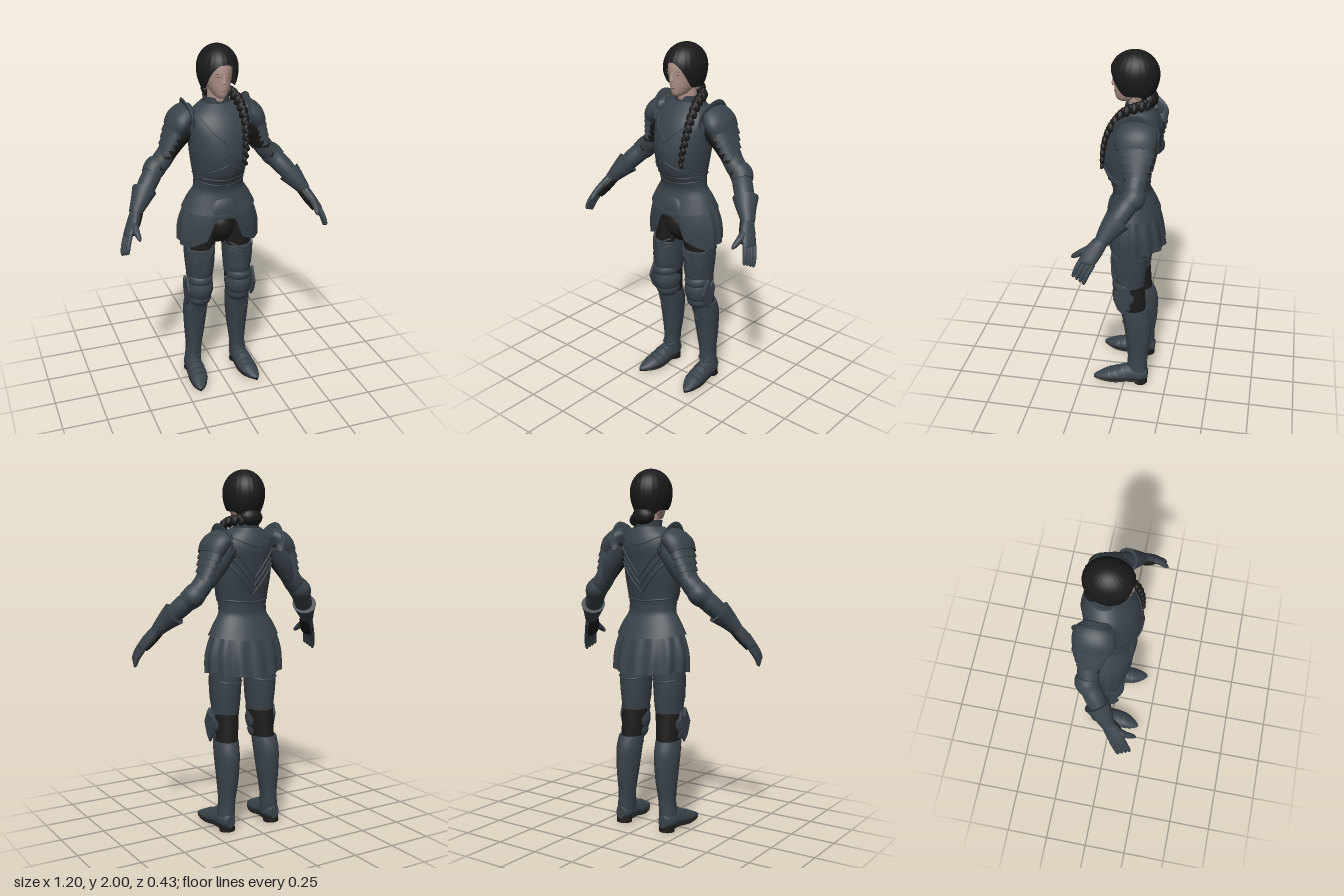
import * as THREE from 'three';

const V = (x, y, z) => new THREE.Vector3(x, y, z);
const X = V(1, 0, 0), Y = V(0, 1, 0), Z = V(0, 0, 1), DOWN = V(0, -1, 0);
const paint = (name, color, side = THREE.FrontSide) => {
  const m = new THREE.MeshStandardMaterial({ color, side });
  m.name = name;
  return m;
};
const step = (a, b, x) => THREE.MathUtils.smoothstep(x, a, b);

// Closed-round surface from f(angle, s), s running 0..1 along its length
function grid(f, n, m, cap) {
  const pos = [], idx = [];
  const row = (s) => { for (let j = 0; j < n; j++) pos.push(...f(j / n * Math.PI * 2, s).toArray()); };
  for (let i = 0; i <= m; i++) row(i / m);
  for (let i = 0; i < m; i++) for (let j = 0; j < n; j++) {
    const a = i * n + j, b = i * n + (j + 1) % n;
    idx.push(a, a + n, b, b, a + n, b + n);
  }
  if (cap) for (const s of [0, 1]) {
    const o = pos.length / 3, c = V(0, 0, 0);
    row(s);
    for (let j = 0; j < n; j++) c.add(V().fromArray(pos, (o + j) * 3));
    pos.push(...c.divideScalar(n).toArray());
    for (let j = 0; j < n; j++) {
      const k = o + (j + 1) % n;
      idx.push(o + n, s ? k : o + j, s ? o + j : k);
    }
  }
  const g = new THREE.BufferGeometry();
  g.setAttribute('position', new THREE.Float32BufferAttribute(pos, 3));
  g.setIndex(idx);
  g.computeVertexNormals();
  return g;
}

// Smoothly resample sections [x, y, z, halfWidth, front, back]
function smooth(secs, m) {
  const at = (i) => secs[Math.max(0, Math.min(secs.length - 1, i))];
  return Array.from({ length: m + 1 }, (_, k) => {
    const u = k / m * (secs.length - 1), i = Math.min(Math.floor(u), secs.length - 2), t = u - i;
    return secs[0].map((_, c) => {
      const [a, b, d, e] = [at(i - 1)[c], at(i)[c], at(i + 1)[c], at(i + 2)[c]];
      const v = b + 0.5 * t * (d - a + t * (2 * a - 5 * b + 4 * d - e + t * (3 * (b - d) + e - a)));
      return c > 2 ? Math.max(v, 0.001) : v;
    });
  });
}

// Loft along the section centres; v is the "front" axis, t an optional fixed direction
function loft(secs, { n = 24, m = (secs.length - 1) * 5, v = Z, t = null, cap = true, mod = null } = {}) {
  const d = smooth(secs, m);
  const frames = d.map((_, i) => {
    const p = d[Math.max(0, i - 1)], q = d[Math.min(m, i + 1)];
    const T = t || V(q[0] - p[0], q[1] - p[1], q[2] - p[2]).normalize();
    const W = v.clone().addScaledVector(T, -v.dot(T)).normalize();
    return [V().crossVectors(T, W), W];
  });
  return grid((a, s) => {
    const i = Math.round(s * m), [x, y, z, r, f, b] = d[i], c = Math.cos(a), q = Math.sin(a);
    const p = V(x, y, z).addScaledVector(frames[i][0], c * r).addScaledVector(frames[i][1], q * (q > 0 ? f : b));
    if (mod) mod(p, a, s);
    return p;
  }, n, m, cap);
}

// Raised trim following a lofted surface through (x, y) points
function trim(secs, pts, side, r = 0.005) {
  const d = smooth(secs, 500), out = [];
  for (let i = 0; i < pts.length - 1; i++) for (let k = 0; k <= 8; k++) {
    if (k === 8 && i < pts.length - 2) continue;
    const x = THREE.MathUtils.lerp(pts[i][0], pts[i + 1][0], k / 8), y = THREE.MathUtils.lerp(pts[i][1], pts[i + 1][1], k / 8);
    const s = d.reduce((best, e) => Math.abs(e[1] - y) < Math.abs(best[1] - y) ? e : best);
    out.push(V(x, y, s[2] + side * (side > 0 ? s[4] : s[5]) * Math.sqrt(Math.max(0, 1 - ((x - s[0]) / s[3]) ** 2))));
  }
  return new THREE.TubeGeometry(new THREE.CatmullRomCurve3(out), out.length * 2, r, 6);
}

const ball = (x, y, z, a, b, c) => new THREE.SphereGeometry(1, 24, 16).scale(a, b, c).translate(x, y, z);
const fromFront = (a) => Math.abs(Math.atan2(Math.cos(a), Math.sin(a)));

export function createModel() {
  const steel = paint('darkSteel', 0x3a434a, THREE.DoubleSide), hair = paint('blackHair', 0x1b1a1a, THREE.DoubleSide);
  const cloth = paint('blackCloth', 0x1d1c1b), skin = paint('skin', 0xb0938a);
  const lip = paint('lips', 0x997269), eye = paint('eyes', 0x80675f);
  const model = new THREE.Group(), left = new THREE.Group();
  model.name = 'armouredFigure';
  left.name = 'leftSide';
  const add = (g, mat, name, to = model) => { const o = new THREE.Mesh(g, mat); o.name = name; to.add(o); };
  const limb = (secs, mat, name, o) => add(loft(secs, o), mat, name, left);

  // Breastplate and backplate
  const torso = [[0, 1.2, -.02, .145, .1, .1], [0, 1.26, -.02, .14, .115, .095], [0, 1.33, -.02, .15, .152, .105],
    [0, 1.42, -.02, .162, .168, .125], [0, 1.5, -.02, .168, .158, .138], [0, 1.58, -.025, .172, .135, .145],
    [0, 1.64, -.035, .15, .105, .125], [0, 1.69, -.05, .085, .07, .085]];
  add(loft(torso, { n: 48, t: Y }), steel, 'cuirass');
  const both = (pts) => [...pts.map(([x, y]) => [-x, y]), ...pts.slice(0, -1).reverse()];
  for (const pts of [[[.142, 1.31], [.08, 1.37], [0, 1.45]], [[.142, 1.28], [.09, 1.34], [0, 1.385]], [[.14, 1.3], [0, 1.29]], [[.136, 1.27], [0, 1.25]],
    [[.12, 1.63], [.07, 1.56], [0, 1.5]]]) add(trim(torso, both(pts), 1, .004), steel, 'breastplateTrim');
  for (let k = 0; k < 3; k++)
    add(trim(torso, both([[.145 - k * .01, 1.51 + k * .035], [0, 1.33 + k * .045]]), -1, .007), steel, 'backplateBand');
  for (const pts of [[[.12, 1.64], [.06, 1.61], [0, 1.59]], [[.138, 1.3], [0, 1.285]]]) add(trim(torso, both(pts), -1), steel, 'backplateTrim');
  add(loft([[0, 1.645, -.05, .095, .085, .09], [0, 1.68, -.05, .072, .068, .08], [0, 1.725, -.053, .074, .07, .08]],
    { n: 32, t: Y, cap: false, mod: (p, a, s) => { p.y -= s * .025 * step(.9, 1, Math.sin(a)); } }), steel, 'gorget');

  // Hip plate, pleated skirt with a front opening, and cloth beneath
  add(loft([[0, 1.11, -.025, .21, .145, .152], [0, 1.17, -.025, .179, .124, .122], [0, 1.22, -.02, .146, .106, .1], [0, 1.255, -.02, .142, .116, .098]],
    { n: 48, t: Y, cap: false, mod: (p, a, s) => { p.y -= (1 - s) * .025 * Math.abs(Math.sin(a)); } }), steel, 'hipPlate');
  add(loft([[0, .9, -.025, .23, .142, .182], [0, 1, -.025, .229, .142, .165], [0, 1.1, -.025, .2, .13, .138], [0, 1.19, -.025, .155, .1, .1]],
    { n: 168, t: Y, cap: false, mod: (p, a, s) => {
      const d = fromFront(a), back = step(1, 1.6, d);
      const k = 1 + Math.sqrt(1 - s) * .035 * Math.cos(d * 14) * (.15 + .85 * back);
      p.x *= k;
      p.z = -.025 + (p.z + .025) * k;
      p.y += (1 - s) * (.115 * (1 - step(.2, .5, d)) + .05 * (1 - step(.3, 1.1, d)) - .012 * Math.sin(d * 2) - .016 * step(1.8, 2.6, d));
    } }), steel, 'pleatedSkirt');
  add(loft([[0, .89, -.02, .06, .05, .07], [0, .95, -.02, .15, .085, .11], [0, 1.05, -.02, .18, .09, .11], [0, 1.16, -.02, .15, .08, .09]], { t: Y }), cloth, 'hips');
  add(ball(0, 1, .045, .068, .078, .055), cloth, 'groinGuard');

  // Head
  add(loft([[0, 1.66, -.05, .052, .05, .05], [0, 1.77, -.045, .048, .05, .05]], { t: Y }), skin, 'neck');
  add(loft([[0, 1.728, .025, .018, .03, .03], [0, 1.742, .005, .037, .064, .05], [0, 1.78, -.02, .057, .097, .08], [0, 1.82, -.03, .068, .109, .1],
    [0, 1.87, -.035, .074, .118, .11], [0, 1.92, -.035, .07, .108, .11], [0, 1.96, -.035, .045, .07, .07]], { n: 32, t: Y }), skin, 'face');
  add(loft([[0, 1.808, .076, .013, .014, .01], [0, 1.818, .077, .013, .016, .01], [0, 1.835, .079, .009, .011, .01], [0, 1.86, .078, .007, .005, .01]], { t: Y, n: 12 }), skin, 'nose');
  add(ball(0, 1.776, .074, .017, .005, .007), lip, 'mouth');
  for (const s of [-1, 1]) {
    add(ball(s * .03, 1.848, .0715, .013, .004, .005), eye, 'eye');
    add(ball(s * .032, 1.864, .0725, .016, .002, .005), eye, 'eyebrow');
    add(ball(s * .06, 1.778, -.055, .012, .026, .017), skin, 'ear');
  }

  // Hair cap, low bun and braid over the left shoulder
  add(grid((a, s) => {
    const d = fromFront(a);
    const hem = 1.912 - .02 * step(.15, .55, d) - .115 * step(.4, 1.2, d) - .04 * step(1.8, 2.6, d);
    const y = hem + (2 - hem) * Math.sin(s * Math.PI / 2), h = y - 1.875;
    const k = (h > 0 ? Math.sqrt(Math.max(0, 1 - (h / .125) ** 2)) : 1 - .4 * (h / .14) ** 2) * (1 + .005 * Math.cos(a * 22));
    return V(Math.cos(a) * .11 * k, y, -.033 + Math.sin(a) * (Math.sin(a) > 0 ? .133 : .128) * k);
  }, 132, 24, false), hair, 'hairCap');
  add(ball(0, 1.745, -.108, .066, .05, .047), hair, 'hairBun');
  const braid = new THREE.CatmullRomCurve3([V(.03, 1.73, -.12), V(.085, 1.73, -.07), V(.108, 1.7, .01), V(.117, 1.63, .07),
    V(.118, 1.56, .103), V(.11, 1.48, .122), V(.1, 1.385, .13)]);
  for (let i = 0; i < 26; i++) {
    const p = braid.getPointAt(i / 25), r = .024 - .011 * (i / 25) ** 2, s = i % 2 ? 1 : -1;
    const g = new THREE.SphereGeometry(r, 12, 8).scale(.85, 1.35, .85).rotateZ(s * .5);
    add(g.translate(p.x + s * r * .3, p.y, p.z), hair, 'braidStrand');
  }

  // Arm: cloth sleeve under shoulder plates, elbow guard and bracer
  limb([[.13, 1.575, -.07, .075, .085, .07], [.205, 1.525, -.075, .07, .085, .07], [.262, 1.43, -.083, .052, .062, .05], [.35, 1.32, -.07, .045, .048, .048]], cloth, 'sleeve');
  limb([[.15, 1.59, -.105, .06, .04, .06], [.205, 1.51, -.108, .062, .04, .058], [.245, 1.44, -.1, .052, .035, .048], [.27, 1.4, -.09, .046, .03, .045]], steel, 'rearArmPlate');
  limb([[.13, 1.655, -.07, .03, .06, .06], [.165, 1.635, -.07, .054, .098, .1], [.205, 1.598, -.073, .064, .116, .107], [.232, 1.552, -.076, .056, .106, .1]], steel, 'shoulderPlate');
  for (let k = 0; k < 4; k++) {
    const x = .229 + k * .012, y = 1.562 - k * .036, z = -.078 - k * .002, r = .047 - k * .002, f = .092 - k * .011;
    limb([[x, y, z, r, f, f], [x + .014, y - .042, z, r + .006, f + .006, f + .006]], steel, 'shoulderLame');
  }
  limb([[.15, 1.57, .04, .006, .012, .02], [.158, 1.635, .025, .007, .03, .03], [.172, 1.675, -.04, .007, .038, .03],
    [.172, 1.675, -.1, .007, .034, .03], [.158, 1.62, -.16, .007, .03, .03], [.15, 1.56, -.175, .006, .012, .02]], steel, 'shoulderCrest', { v: V(.3, 1, 0), n: 12 });
  limb([[.26, 1.43, -.085, .05, .06, .058], [.3, 1.378, -.083, .054, .06, .058], [.325, 1.35, -.08, .053, .057, .055]], steel, 'upperArmPlate');
  limb([[.318, 1.365, -.083, .055, .058, .058], [.343, 1.335, -.08, .061, .06, .068], [.37, 1.308, -.06, .054, .056, .056]], steel, 'elbowGuard');
  limb([[.345, 1.33, -.075, .052, .05, .055], [.4, 1.268, -.03, .052, .054, .054], [.46, 1.19, .025, .04, .042, .042]], steel, 'bracer');
  limb([[.422, 1.243, -.014, .066, .068, .074], [.455, 1.2, .02, .051, .054, .057], [.495, 1.145, .055, .034, .038, .038]], steel, 'gauntletCuff');
  const hand = [[.49, 1.155, .05, .028, .036, .034], [.52, 1.105, .085, .027, .05, .043], [.55, 1.06, .115, .021, .047, .042], [.558, 1.045, .12, .014, .042, .036]];
  limb(hand, steel, 'gauntlet');
  limb(hand.slice(0, 3).map(([x, y, z, r, f, b]) => [x - .015, y - .007, z + .001, r * .88, f * .88, b * .9]), cloth, 'palm');
  for (let i = 0; i < 4; i++) {
    const k = (i - 1.5) * .022, at = (x, y, z, r) => [x - .26 * k, y + .43 * k, z + .87 * k, r, r, r];
    limb([at(.55, 1.06, .115, .013), at(.572, 1.01, .142, .0125), at(.581, .97, .157, .01), at(.582, .958, .16, .003)], steel, 'finger', { n: 10, m: 9 });
  }
  limb([[.508, 1.125, .085, .022, .022, .022], [.517, 1.095, .145, .019, .019, .019], [.512, 1.063, .194, .013, .013, .013], [.51, 1.05, .21, .003, .003, .003]], steel, 'thumb', { n: 12, v: X });

  // Leg: cloth underneath, thigh plate, knee guard and greave
  limb([[.098, .99, -.02, .09, .085, .1], [.107, .87, -.02, .084, .085, .096], [.114, .75, -.02, .07, .08, .084], [.115, .66, -.025, .072, .07, .083], [.122, .47, -.045, .06, .06, .075]], cloth, 'legCloth', { t: DOWN });
  const thigh = [[.113, .9, -.02, .091, .098, .1], [.114, .8, -.02, .086, .1, .1], [.113, .72, -.02, .079, .098, .094], [.114, .665, -.02, .074, .09, .088]];
  limb(thigh, steel, 'thighPlate', { t: DOWN, mod: (p, a, s) => { p.y += (s * .025 - (1 - s) * .04) * step(.3, -.3, Math.sin(a)); } });
  for (const o of [0, .022, .044]) add(trim(thigh, [[.045, .885 - o], [.12, .85 - o], [.175 - o / 2, .74 - o]], 1, .004), steel, 'thighTrim', left);
  add(trim(thigh, [[.04, .85], [.11, .84], [.185, .855]], -1), steel, 'thighBand', left);
  for (const [y, h, w, f] of [[.665, .055, .075, .08], [.605, .098, .079, .085], [.54, .062, .07, .076]])
    add(ball(.118, y, -.003 - (.67 - y) * .1, w, h, f), steel, 'kneeGuard', left);
  const wing = new THREE.Shape([[-.05, .62], [-.035, .67], [-.012, .645], [.012, .69], [.035, .65], [.055, .61], [.03, .54], [0, .505], [-.03, .55]].map((p) => new THREE.Vector2(...p)));
  add(new THREE.ExtrudeGeometry(wing, { depth: .008, bevelSize: .003, bevelThickness: .003, bevelSegments: 1 }).rotateY(-Math.PI / 2).translate(.203, 0, 0), steel, 'kneeWing', left);
  const greave = [[.126, .51, -.045, .07, .075, .082], [.13, .43, -.058, .07, .07, .094], [.133, .3, -.07, .06, .062, .08],
    [.138, .18, -.075, .047, .055, .06], [.143, .1, -.075, .048, .06, .058], [.147, .05, -.075, .05, .06, .055]];
  limb(greave, steel, 'greave', { t: DOWN });
  add(trim(greave, [[.128, .5], [.133, .3], [.141, .13]], 1, .004), steel, 'shinRidge', left);
  add(trim(greave, [[.073, .47], [.131, .39], [.185, .47]], 1, .004), steel, 'shinTrim', left);
  add(trim(greave, [[.103, .13], [.141, .115], [.18, .13]], 1), steel, 'ankleTrim', left);

  // Pointed shoe with arched sole and heel
  const shoe = [[.146, .06, -.136, .028, .035, .035], [.147, .058, -.09, .05, .06, .04], [.15, .052, -.02, .05, .066, .03], [.154, .042, .05, .054, .048, .03],
    [.16, .036, .11, .047, .033, .022], [.17, .028, .16, .027, .018, .014], [.175, .027, .184, .007, .006, .005]];
  limb(shoe, steel, 'shoe', { v: Y, t: Z });
  limb(shoe.slice(1).map(([x, , z, r], i) => [x, [.02, .021, .012, .013, .018, .022][i], z, r * .95, .008, .011]), cloth, 'sole', { v: Y, t: Z });
  add(new THREE.CylinderGeometry(.044, .046, .035, 20).scale(1, 1, .9).translate(.147, .0175, -.095), cloth, 'heel', left);
  for (let k = 0; k < 3; k++) {
    const [x, y, z, r, f] = smooth(shoe, 30)[12 + k * 3];
    limb([[x, y, z - .02, r, f, .02], [x, y, z + .006, r + .0015, f + .0015, .02]], steel, 'shoeLame', { v: Y, t: Z });
  }

  // Mirror the limbs to the other side
  const right = left.clone();
  right.name = 'rightSide';
  right.children.forEach((o) => {
    const g = o.geometry = o.geometry.clone();
    if (!g.index) g.setIndex([...Array(g.attributes.position.count).keys()]);
    g.scale(-1, 1, 1);
    const ix = g.index.array;
    for (let i = 0; i < ix.length; i += 3) [ix[i], ix[i + 1]] = [ix[i + 1], ix[i]];
  });
  model.add(left, right);
  return model;
}
